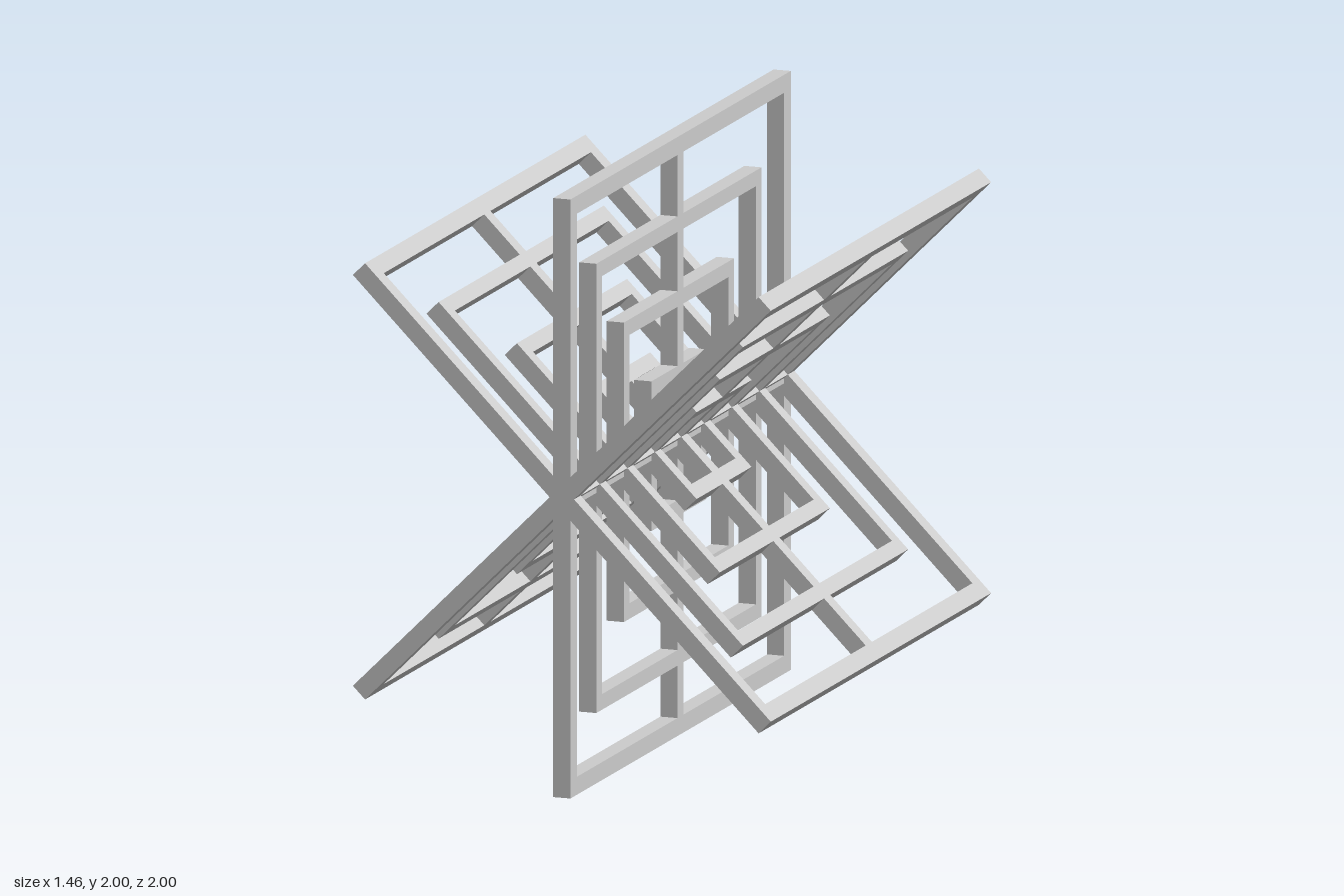
import * as THREE from 'three';

const BAR = 0.06;
const material = new THREE.MeshStandardMaterial({ color: 0xcccccc, flatShading: true });

function addMesh(parent, name, geometry) {
  const mesh = new THREE.Mesh(geometry, material);
  mesh.name = name;
  parent.add(mesh);
}

// Square from corner a to corner b on both axes
function square(PathType, a, b) {
  return new PathType([[a, a], [b, a], [b, b], [a, b]].map(([x, y]) => new THREE.Vector2(x, y)));
}

// Square ring standing in the YZ plane
function frameGeometry(a, b, width) {
  const shape = square(THREE.Shape, a, b);
  shape.holes.push(square(THREE.Path, a + width, b - width));
  return new THREE.ExtrudeGeometry(shape, { depth: BAR, bevelEnabled: false })
    .translate(0, 0, -BAR / 2)
    .rotateY(Math.PI / 2);
}

// One flat panel: nested square frames joined by a cross bar
function createPanel() {
  const panel = new THREE.Group();
  addMesh(panel, 'outerFrame', frameGeometry(-1, 1, BAR));
  // Inner frames sit slightly off centre
  [0.75, 0.5, 0.25].forEach((half, i) => {
    addMesh(panel, `innerFrame${i + 1}`, frameGeometry(-half - 0.015, half - 0.015, 0.052));
  });
  addMesh(panel, 'crossBar', new THREE.BoxGeometry(BAR, 1.96, 0.056));
  addMesh(panel, 'axisBar', new THREE.BoxGeometry(BAR, BAR, 1.96));
  return panel;
}

export function createModel() {
  const model = new THREE.Group();
  model.name = 'nestedFrameStar';
  // Three panels crossing along the z axis
  [0, -45, -135].forEach((angle, i) => {
    const panel = createPanel();
    panel.name = ['uprightPanel', 'risingPanel', 'fallingPanel'][i];
    panel.rotation.z = THREE.MathUtils.degToRad(angle);
    panel.position.y = 1;
    model.add(panel);
  });
  return model;
}
